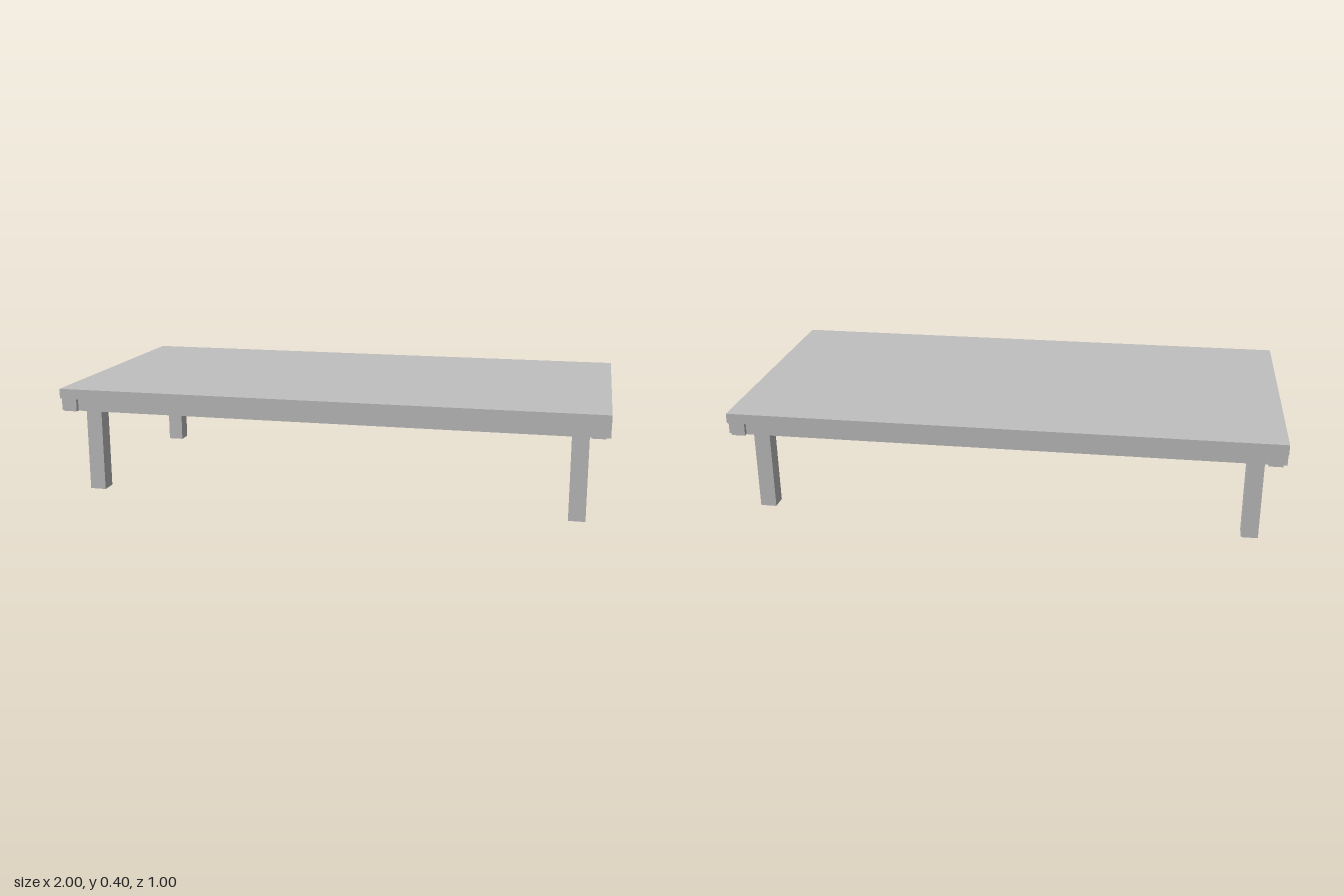
import * as THREE from 'three';

export function createModel() {
  const model = new THREE.Group();
  model.name = 'lowTable';
  const grey = new THREE.MeshStandardMaterial({ color: 0xc0c0c0 });
  grey.name = 'light grey';

  // Adds a box whose base sits at y0 and whose top is at y1
  const addBox = (name, w, d, y0, y1, x, z) => {
    const mesh = new THREE.Mesh(new THREE.BoxGeometry(w, y1 - y0, d), grey);
    mesh.name = name;
    mesh.position.set(x, (y0 + y1) / 2, z);
    model.add(mesh);
  };

  const slabBottom = 0.363, railBottom = 0.317;
  const thick = 0.05;   // rail thickness
  const inset = 0.015;  // rail set back from the slab edge

  addBox('tableTop', 2, 1, slabBottom, 0.4, 0, 0);

  // Crossing rails: their ends run through to the slab edges
  for (const s of [-1, 1]) {
    addBox('longRail', 2, thick, railBottom, slabBottom, 0, s * (0.5 - inset - thick / 2));
    addBox('shortRail', thick, 1, railBottom, slabBottom, s * (1 - inset - thick / 2), 0);
  }

  // Square legs just inside the rail corners
  for (const x of [-0.9, 0.9]) {
    for (const z of [-0.4, 0.4]) addBox('leg', 0.06, 0.06, 0, slabBottom, x, z);
  }
  return model;
}
